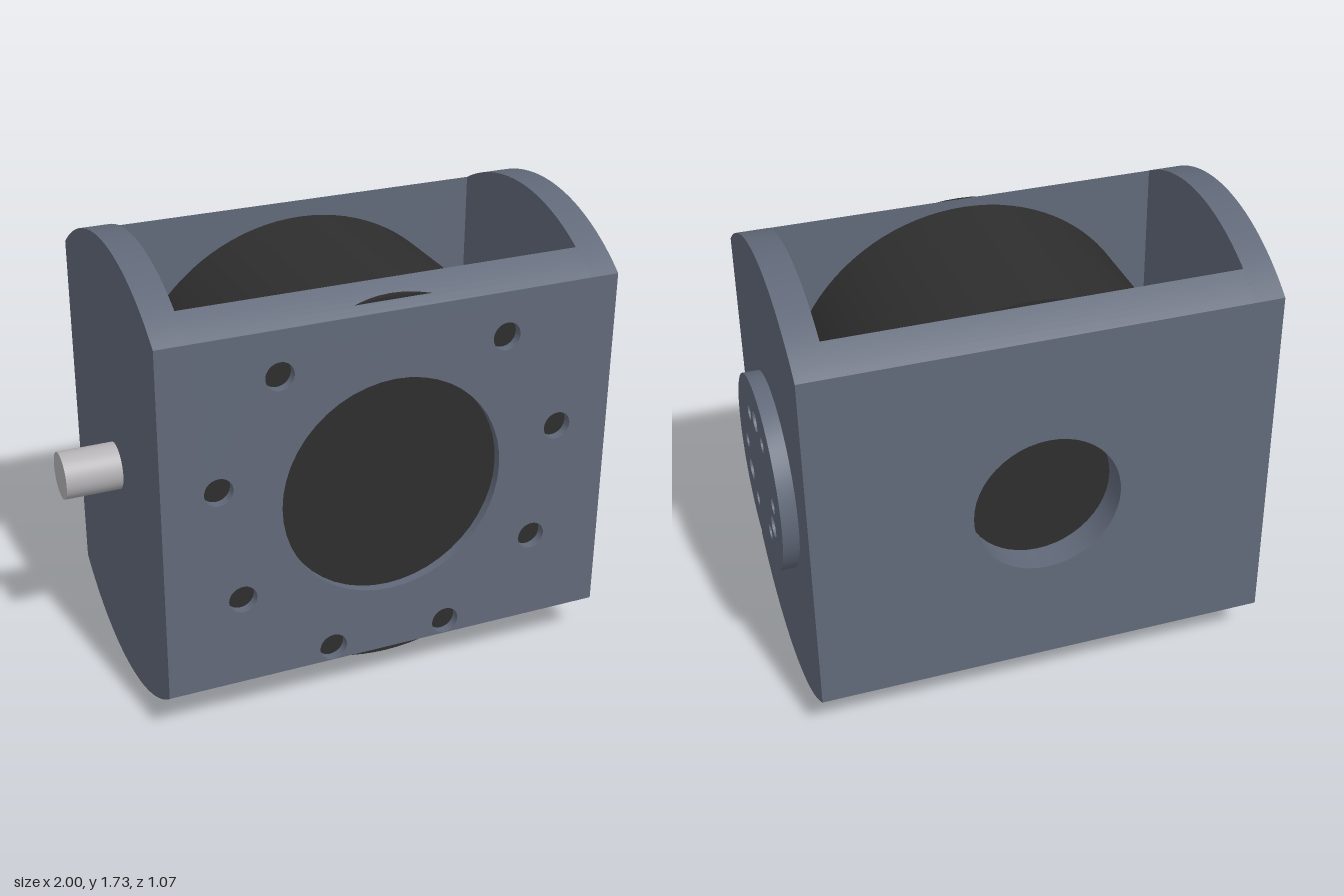
import * as THREE from 'three';
import { toCreasedNormals } from 'three/addons/utils/BufferGeometryUtils.js';

const R = 0.867;          // radius of the rounded housing ends
const HZ = 0.535;         // half depth of the housing
const HX = 0.865;         // half width of the housing
const WALL = 0.113;       // wall thickness
const FLAT = Math.sqrt(R * R - HZ * HZ);
const DEG = Math.PI / 180;

function circleHole(x, y, r) {
  return new THREE.Path().absarc(x, y, r, 0, Math.PI * 2, true);
}

// Ring of holes at the given angles (degrees)
function ringHoles(ring, r, angles) {
  return angles.map(a => circleHole(ring * Math.cos(a * DEG), ring * Math.sin(a * DEG), r));
}

function extrude(shape, depth, steps = 1) {
  return new THREE.ExtrudeGeometry(shape, { depth, steps, bevelEnabled: false, curveSegments: 24 });
}

export function createModel() {
  const body = new THREE.MeshStandardMaterial({ color: 0x616979 });
  body.name = 'blue grey housing';
  const black = new THREE.MeshStandardMaterial({ color: 0x2e2e2e });
  black.name = 'black drum';
  const steel = new THREE.MeshStandardMaterial({ color: 0xb4b2b5 });
  steel.name = 'light steel';

  const model = new THREE.Group();
  model.name = 'motorHousing';
  model.position.set(0.075, R, 0);

  function add(name, geometry, material) {
    const mesh = new THREE.Mesh(geometry, material);
    mesh.name = name;
    model.add(mesh);
    return mesh;
  }

  const boltAngles = [0, 60, 120, 180, 240, 300];
  const pinAngles = [90, 210, 330];

  // Side plates: straight flanks with arched top and bottom
  function sidePlate(holes) {
    const a = Math.atan2(FLAT, HZ);
    const shape = new THREE.Shape();
    shape.absarc(0, 0, R, a, Math.PI - a, false);
    shape.absarc(0, 0, R, Math.PI + a, -a, false);
    shape.closePath();
    shape.holes.push(...holes);
    return toCreasedNormals(extrude(shape, WALL).rotateY(Math.PI / 2), 0.5);
  }
  add('leftSidePlate', sidePlate(ringHoles(0.222, 0.03, boltAngles)), body).position.x = HX - WALL;
  add('rightSidePlate', sidePlate([]), body).position.x = -HX;

  // Front and back plates: upper and lower edges follow the rounded ends
  function facePlate(holes) {
    const w = HX - WALL;
    const shape = new THREE.Shape();
    shape.moveTo(-w, -FLAT).lineTo(w, -FLAT).lineTo(w, FLAT).lineTo(-w, FLAT).closePath();
    shape.holes.push(...holes);
    const g = extrude(shape, WALL, 6).translate(0, 0, HZ - WALL);
    const p = g.attributes.position;
    for (let i = 0; i < p.count; i++) {
      const y = p.getY(i), z = p.getZ(i);
      if (Math.abs(y) > FLAT - 0.001) p.setY(i, Math.sign(y) * Math.sqrt(R * R - z * z));
    }
    return toCreasedNormals(g, 0.5);
  }
  const screwAngles = [130, 170, 210, 250, 290, 330, 10, 50];
  add('frontPlate', facePlate([circleHole(0, 0, 0.425), ...ringHoles(0.667, 0.053, screwAngles)]), body);
  add('backPlate', facePlate([circleHole(0, 0, 0.277)]), body).rotation.y = Math.PI;

  // Drum seated in the front plate
  const drum = new THREE.CylinderGeometry(0.723, 0.723, 0.84, 96).rotateX(Math.PI / 2);
  add('drum', drum, black).position.z = 0.08;

  // Output flange with bolt and pin holes
  const disc = new THREE.Shape().absarc(0, 0, 0.367, 0, Math.PI * 2, false);
  disc.holes.push(...ringHoles(0.222, 0.03, boltAngles), ...ringHoles(0.222, 0.042, pinAngles));
  const flange = toCreasedNormals(extrude(disc, 0.06).rotateY(Math.PI / 2), 0.5);
  add('outputFlange', flange, body).position.x = HX;

  // Shaft on the opposite side
  const shaft = new THREE.CylinderGeometry(0.088, 0.088, 0.23, 48).rotateZ(Math.PI / 2);
  add('shaft', shaft, steel).position.x = -0.96;

  const root = new THREE.Group();
  root.name = 'gearUnit';
  root.add(model);
  return root;
}
